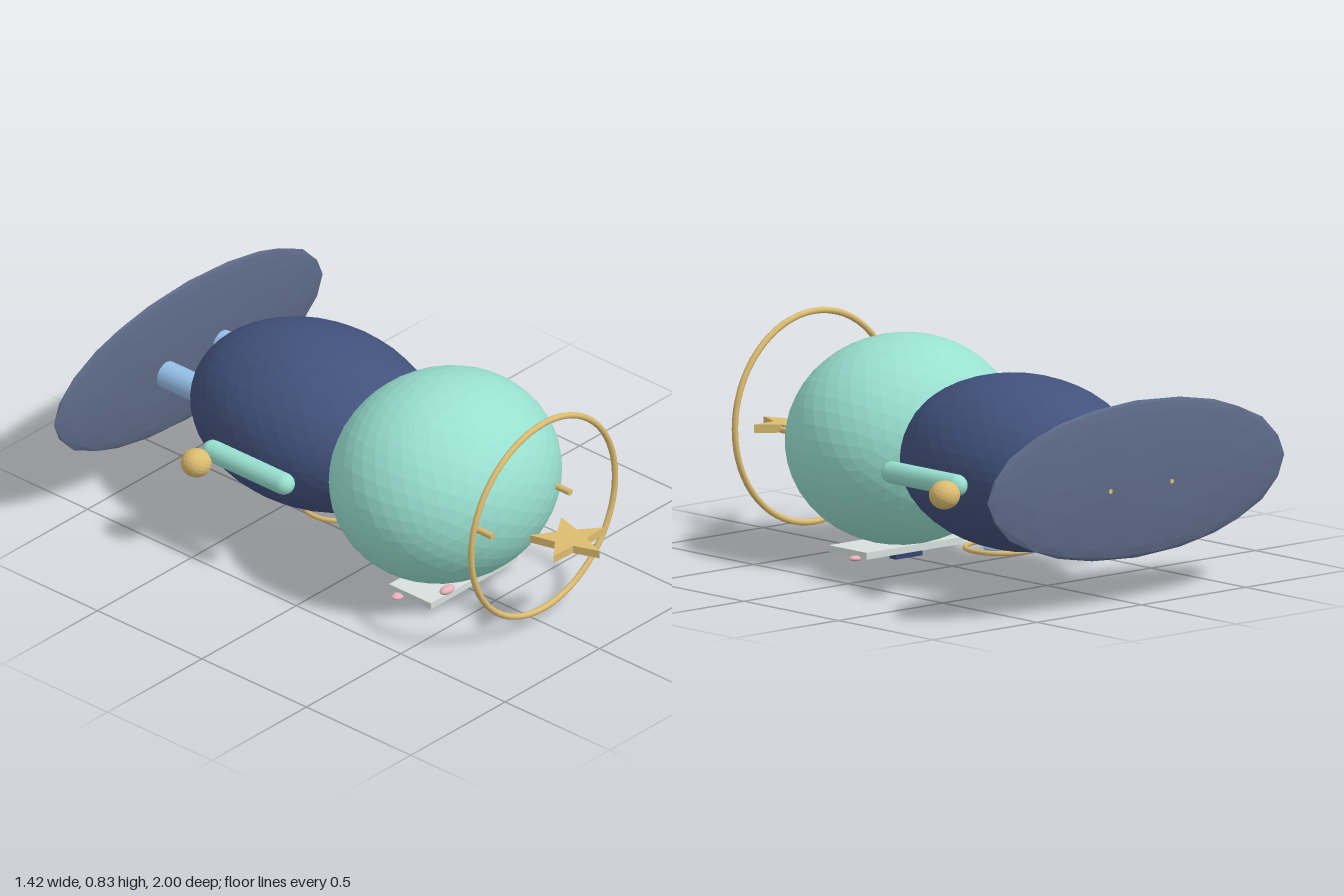
import * as THREE from 'three';

const paint = (color, flatShading = false) => new THREE.MeshStandardMaterial({ color, flatShading });
const MINT = 0x98e0d0, NAVY = 0x42527c, GOLD = 0xdcbc70, BLUE = 0x96c0e8;
const SLATE = 0x5c6986, WHITE = 0xd6e0dc, PINK = 0xe8b0bc, DARK = 0x36456e;

export function createModel() {
  const model = new THREE.Group();

  const add = (name, geometry, color, x, y, z, flat = false) => {
    const mesh = new THREE.Mesh(geometry, paint(color, flat));
    mesh.name = name;
    mesh.position.set(x, y, z);
    model.add(mesh);
    return mesh;
  };
  // Faceted ball stretched to three radii
  const ball = (name, color, pos, radii, detail) =>
    add(name, new THREE.IcosahedronGeometry(1, detail).scale(...radii), color, ...pos, true);
  // Rod lying along z between two depths
  const rod = (name, color, x, y, z0, z1, r, sides = 16) =>
    add(name, new THREE.CylinderGeometry(r, r, Math.abs(z1 - z0), sides).rotateX(Math.PI / 2),
      color, x, y, (z0 + z1) / 2);

  // Head, body and the lens-shaped plate behind them
  ball('head', MINT, [0, 0.428, 0.262], [0.44, 0.378, 0.393], 7);
  ball('body', NAVY, [0, 0.428, -0.36], [0.378, 0.315, 0.495], 7);
  ball('rearPlate', SLATE, [0, 0.453, -0.97], [0.712, 0.284, 0.03], 3);

  // Mirrored parts
  for (const s of [-1, 1]) {
    add('arm', new THREE.CapsuleGeometry(0.04, 0.34, 8, 16).rotateX(Math.PI / 2), MINT, s * 0.414, 0.413, -0.308);
    ball('hand', GOLD, [s * 0.485, 0.39, -0.493], [0.056, 0.052, 0.056], 3);
    rod('leg', BLUE, s * 0.147, 0.428, -0.78, -0.965, 0.05);
    rod('legPin', GOLD, s * 0.147, 0.43, -0.96, -1.0, 0.009, 8);
    rod('antenna', GOLD, s * 0.206, 0.427, 0.58, 0.675, 0.012, 10);
    // Face features underneath the face plate
    ball('eye', DARK, [s * 0.128, 0.017, 0.325], [0.036, 0.012, 0.055], 3);
    ball('cheek', PINK, [s * 0.238, 0.026, 0.25], [0.026, 0.01, 0.02], 3);
  }
  add('facePlate', new THREE.BoxGeometry(0.46, 0.025, 0.2), WHITE, 0, 0.039, 0.3);
  add('mouth', new THREE.BoxGeometry(0.126, 0.024, 0.035), DARK, 0, 0.014, 0.245);
  ball('headSpot', PINK, [-0.165, 0.088, 0.42], [0.035, 0.015, 0.02], 2);

  // Halo ring with a star in front of the head
  add('haloRing', new THREE.TorusGeometry(0.381, 0.0115, 10, 64), GOLD, 0, 0.443, 0.73);
  const star = new THREE.Shape();
  for (let i = 0; i < 10; i++) {
    const r = i % 2 ? 0.06 : 0.142;
    const a = Math.PI / 2 + i * Math.PI / 5;
    star[i ? 'lineTo' : 'moveTo'](r * Math.cos(a), r * Math.sin(a));
  }
  star.closePath();
  add('star', new THREE.ExtrudeGeometry(star, { depth: 0.03, bevelEnabled: false }).rotateX(Math.PI / 2),
    GOLD, 0, 0.405, 0.857);

  // Round emblem on the belly
  const flatRing = (name, R, r, color, y) =>
    add(name, new THREE.TorusGeometry(R, r, 8, 40).rotateX(Math.PI / 2), color, 0, y, -0.253);
  flatRing('bellyRing', 0.126, 0.009, GOLD, 0.107);
  flatRing('emblemRing', 0.052, 0.008, BLUE, 0.106);
  add('emblemDisc', new THREE.CylinderGeometry(0.05, 0.05, 0.02, 32), DARK, 0, 0.112, -0.253);
  ball('emblemStud', GOLD, [0, 0.097, -0.253], [0.028, 0.012, 0.028], 3);

  return model;
}
